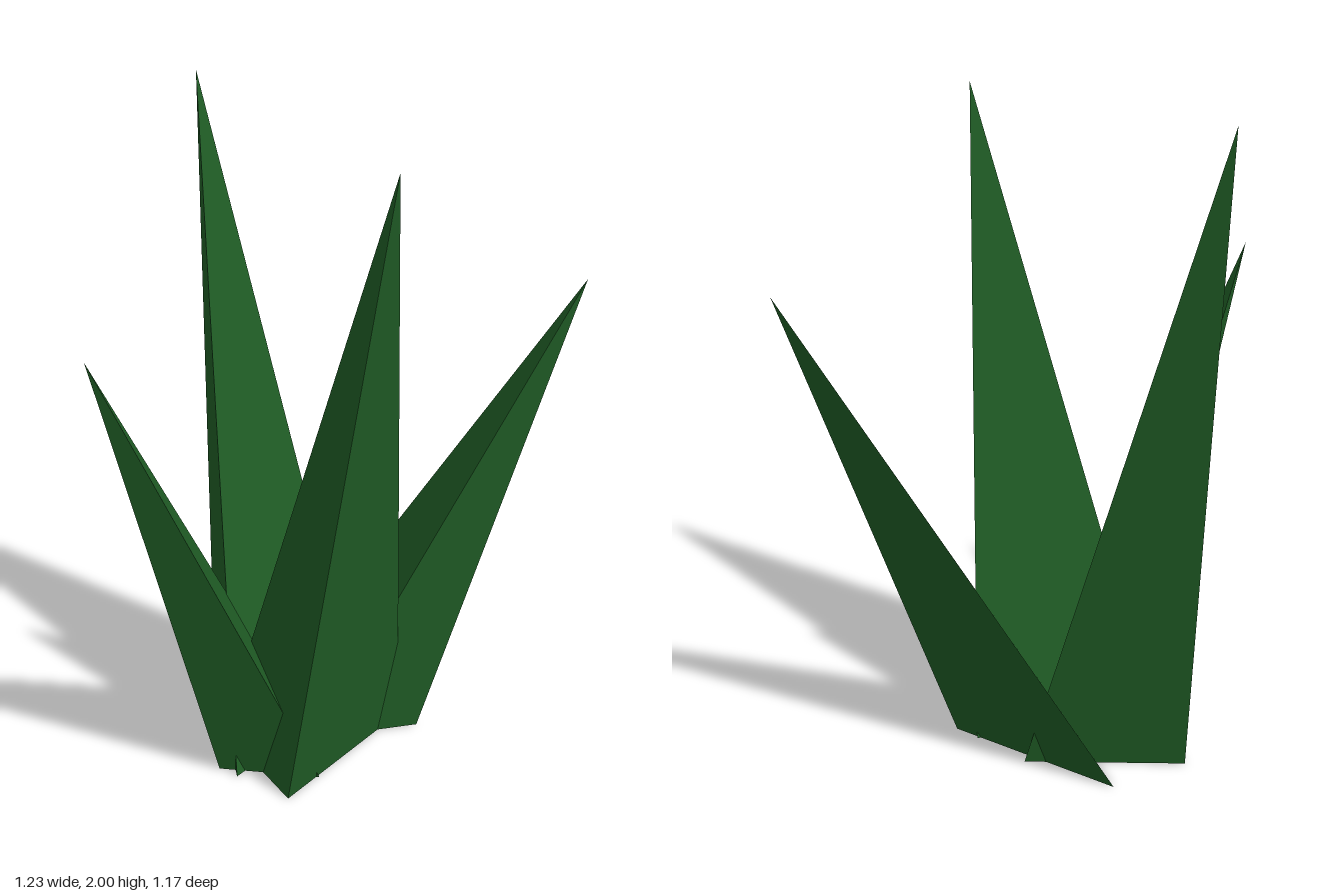
import * as THREE from 'three';

const leafMaterial = new THREE.MeshStandardMaterial({ color: 0x1f5c25, flatShading: true });

// Three-sided spike: base corners [x, z] run counter-clockwise seen from above
function makeBlade(name, tip, corners) {
  const t = new THREE.Vector3(...tip);
  const base = corners.map(([x, z]) => new THREE.Vector3(x, 0, z));
  const points = [];
  base.forEach((p, i) => points.push(p, base[(i + 1) % base.length], t));
  points.push(base[0], base[2], base[1]); // underside
  const geometry = new THREE.BufferGeometry().setFromPoints(points);
  geometry.computeVertexNormals();
  const mesh = new THREE.Mesh(geometry, leafMaterial);
  mesh.name = name;
  return mesh;
}

export function createModel() {
  const group = new THREE.Group();
  group.name = 'grassTuft';
  group.add(
    // Two tall blades
    makeBlade('tallRightBlade', [-0.613, 2.0, -0.375], [[-0.46, -0.16], [-0.095, 0.29], [-0.01, -0.332]]),
    makeBlade('tallLeftBlade', [0.36, 1.93, 0.165], [[-0.272, 0.09], [0.1, 0.313], [0.175, -0.27]]),
    // Two short blades leaning outward
    makeBlade('shortBackBlade', [0.613, 1.47, -0.583], [[-0.305, -0.355], [0.01, -0.015], [0.255, -0.245]]),
    makeBlade('shortFrontBlade', [-0.37, 1.41, 0.583], [[-0.165, 0.28], [0.127, 0.168], [-0.17, -0.18]])
  );
  return group;
}
